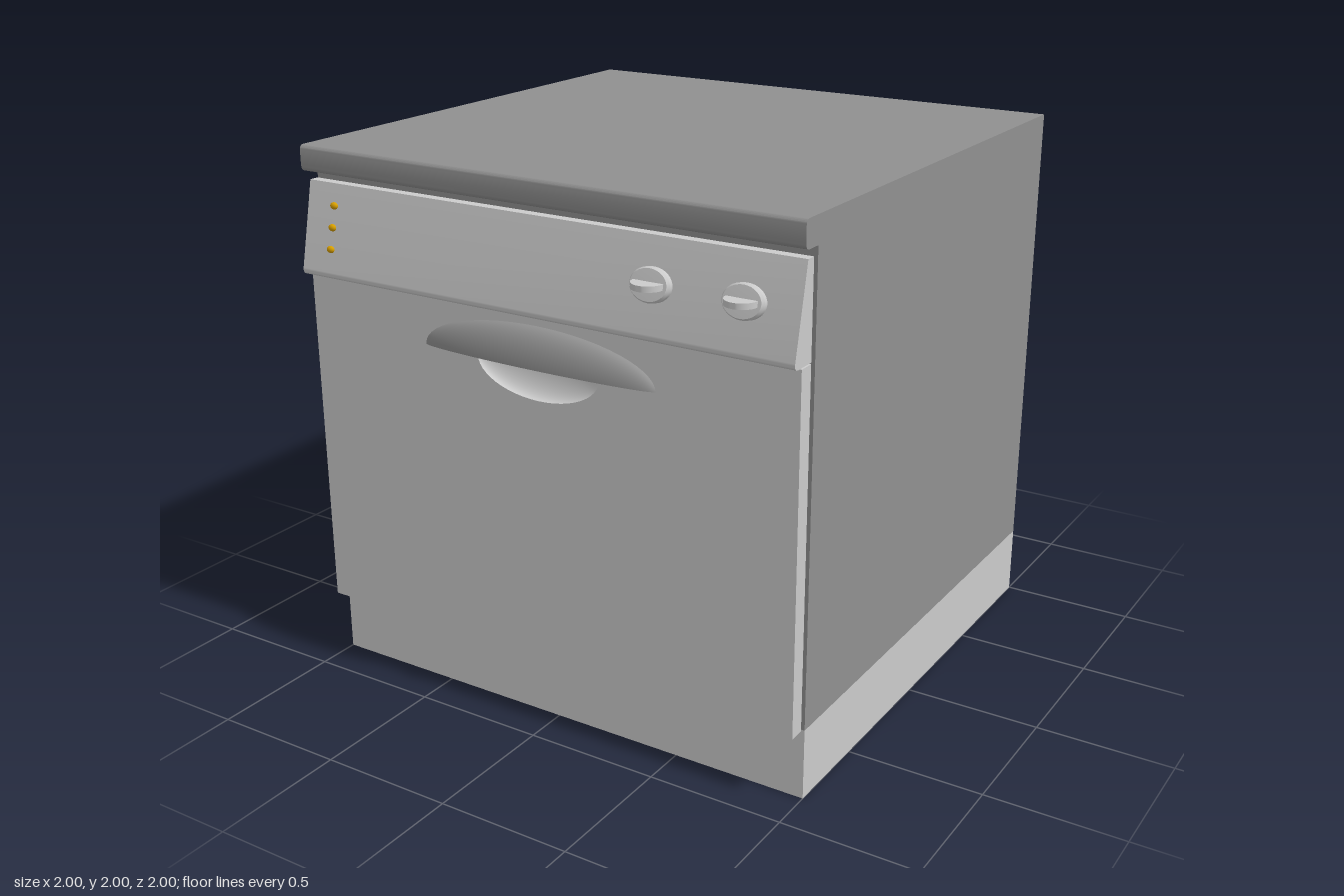
import * as THREE from 'three';
import { toCreasedNormals, mergeGeometries } from 'three/addons/utils/BufferGeometryUtils.js';

const light = new THREE.MeshStandardMaterial({ color: 0xcccccc });
const lightThin = new THREE.MeshStandardMaterial({ color: 0xcccccc, side: THREE.DoubleSide });
const dark = new THREE.MeshStandardMaterial({ color: 0x909090 });
const darkThin = new THREE.MeshStandardMaterial({ color: 0x909090, side: THREE.DoubleSide });
const amber = new THREE.MeshStandardMaterial({ color: 0xd9a000 });

function part(name, geometry, material, x = 0, y = 0, z = 0) {
  const mesh = new THREE.Mesh(geometry, material);
  mesh.name = name;
  mesh.position.set(x, y, z);
  return mesh;
}

// Extrudes a side profile drawn in (z, y) across the width, centred on x = 0
function acrossWidth(shape, width) {
  const g = new THREE.ExtrudeGeometry(shape, { depth: width, bevelEnabled: false, curveSegments: 6 });
  g.translate(0, 0, -width / 2).rotateY(-Math.PI / 2);
  return toCreasedNormals(g, 0.6);
}

function cabinetProfile() {
  const s = new THREE.Shape();
  s.moveTo(-1, 0.26);
  s.lineTo(0.84, 0.26);
  s.lineTo(0.84, 1.905);
  s.lineTo(0.895, 1.905);
  s.quadraticCurveTo(0.918, 1.905, 0.918, 1.93);
  s.lineTo(0.918, 1.98);
  s.quadraticCurveTo(0.918, 2, 0.9, 2);
  s.lineTo(-1, 2);
  s.closePath();
  return s;
}

function panelProfile() {
  const s = new THREE.Shape();
  s.moveTo(0.85, 1.54);
  s.lineTo(0.935, 1.54);
  s.quadraticCurveTo(0.957, 1.542, 0.953, 1.565);
  s.lineTo(0.886, 1.872);
  s.lineTo(0.85, 1.872);
  s.closePath();
  return s;
}

// Door slab with an oval opening for the finger scoop
function doorGeometry(scoopY, rx, ry) {
  const s = new THREE.Shape();
  s.moveTo(-0.992, 0.26);
  s.lineTo(0.992, 0.26);
  s.lineTo(0.992, 1.535);
  s.lineTo(-0.992, 1.535);
  s.closePath();
  s.holes.push(new THREE.Path().absellipse(0, scoopY, rx, ry, 0, Math.PI * 2, true));
  return new THREE.ExtrudeGeometry(s, { depth: 0.06, bevelEnabled: false, curveSegments: 24 });
}

// Hollow quarter-ellipsoid hood, its lower edge rising towards the front
function handleGeometry() {
  const dome = () => new THREE.SphereGeometry(1, 40, 14, 0, Math.PI, 0, Math.PI / 2);
  const inner = dome().scale(0.94, 0.88, 0.88);
  const rim = new THREE.RingGeometry(0.91, 1, 40, 1, 0, Math.PI).rotateX(Math.PI / 2);
  const g = mergeGeometries([dome(), inner, rim]);
  g.scale(0.47, 0.142, 0.088);
  const p = g.attributes.position;
  for (let i = 0; i < p.count; i++) p.setY(i, p.getY(i) + 0.25 * p.getZ(i));
  return g;
}

// Oval dial with a half-disc grip
function makeKnob(x) {
  const knob = new THREE.Group();
  knob.name = 'knob';
  const dial = toCreasedNormals(new THREE.LatheGeometry([
    new THREE.Vector2(0, -0.005), new THREE.Vector2(0.075, -0.005), new THREE.Vector2(0.075, 0.016),
    new THREE.Vector2(0.068, 0.025), new THREE.Vector2(0, 0.027),
  ], 32), 0.6);
  dial.rotateX(Math.PI / 2).scale(1, 0.77, 1);
  const dialMesh = part('dial', dial, light);
  dialMesh.rotation.x = -0.215;
  const grip = toCreasedNormals(
    new THREE.CylinderGeometry(0.056, 0.056, 0.02, 24, 1, false, -Math.PI / 2, Math.PI), 0.6);
  knob.add(dialMesh, part('grip', grip, lightThin, 0, 0.006, 0.023));
  knob.position.set(x, 1.72, 0.919);
  return knob;
}

export function createModel() {
  const model = new THREE.Group();
  model.name = 'dishwasher';

  // Housing
  model.add(part('plinth', new THREE.BoxGeometry(2, 0.26, 1.84), light, 0, 0.13, -0.08));
  model.add(part('cabinet', acrossWidth(cabinetProfile(), 2), dark));

  // Door with recessed scoop
  const scoopY = 1.36;
  model.add(part('door', doorGeometry(scoopY, 0.25, 0.12), light, 0, 0, 0.85));
  const scoop = new THREE.SphereGeometry(1, 48, 12, 0, Math.PI * 2, 0, Math.PI / 2);
  scoop.rotateX(-Math.PI / 2).scale(0.25, 0.12, 0.055);
  model.add(part('fingerScoop', scoop, lightThin, 0, scoopY, 0.91));
  model.add(part('handle', handleGeometry(), darkThin, 0, 1.362, 0.91));

  // Sloped control panel
  model.add(part('controlPanel', acrossWidth(panelProfile(), 1.984), light));
  for (const x of [0.465, 0.8]) model.add(makeKnob(x));
  for (const y of [1.795, 1.72, 1.645]) {
    const lamp = new THREE.SphereGeometry(1, 16, 10).scale(0.017, 0.013, 0.011);
    model.add(part('indicatorLamp', lamp, amber, -0.87, y, 0.886 + (1.872 - y) * 0.218));
  }
  return model;
}
